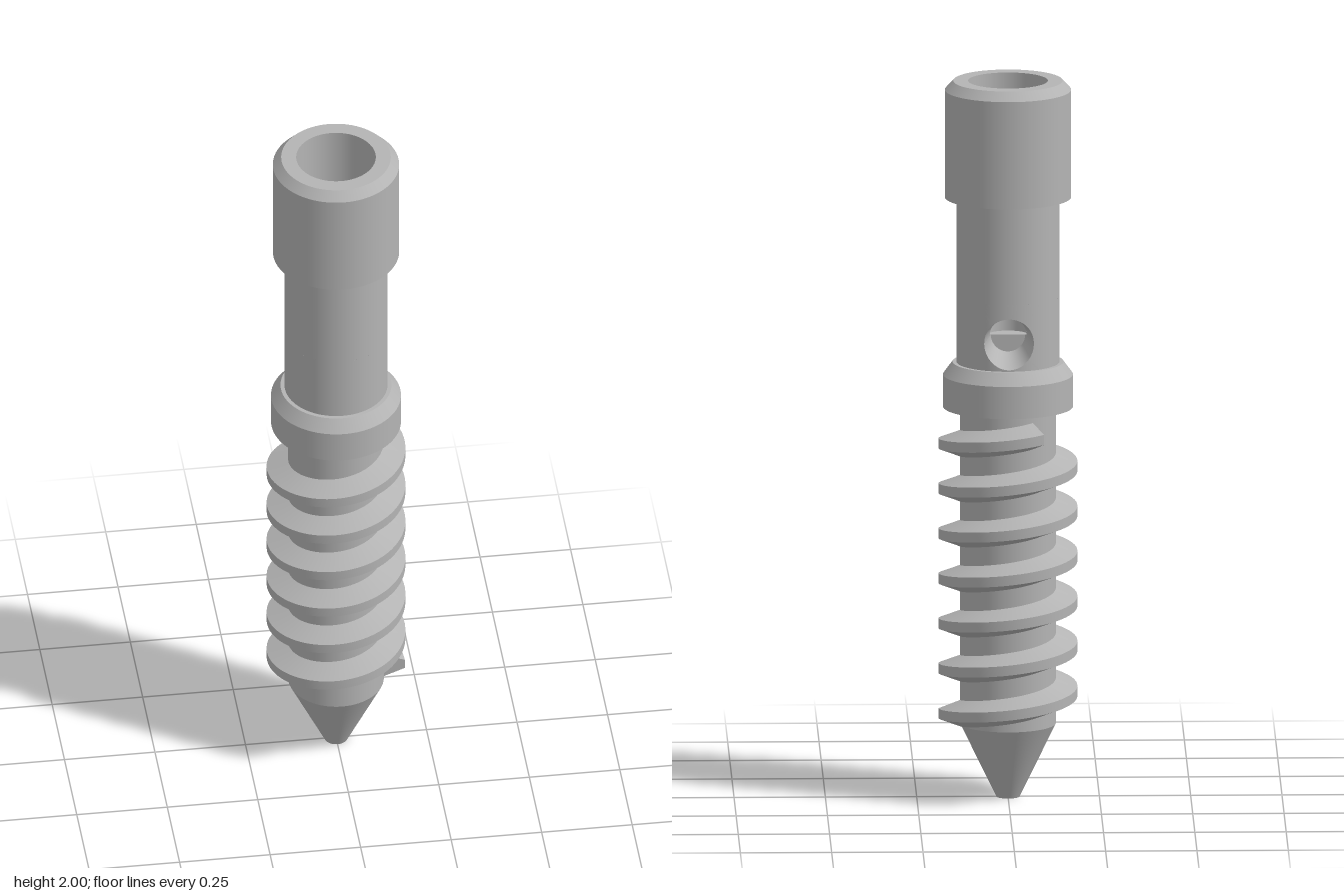
import * as THREE from 'three';
import { mergeGeometries } from 'three/addons/utils/BufferGeometryUtils.js';

const steel = new THREE.MeshStandardMaterial({ color: 0xb4b4b4, side: THREE.DoubleSide });
steel.name = 'steel grey';

// Smooth surface grid; fn(u, v) returns [x, y, z] for u, v in 0..1
function grid(fn, nu, nv) {
  const pos = [], idx = [];
  for (let i = 0; i <= nu; i++) {
    for (let j = 0; j <= nv; j++) {
      pos.push(...fn(i / nu, j / nv));
      if (i < nu && j < nv) {
        const a = i * (nv + 1) + j, b = a + nv + 1;
        idx.push(a, b, a + 1, b, b + 1, a + 1);
      }
    }
  }
  const g = new THREE.BufferGeometry();
  g.setAttribute('position', new THREE.Float32BufferAttribute(pos, 3));
  g.setIndex(idx);
  g.computeVertexNormals();
  return g;
}

// Turned part with a sharp edge at every profile point
function turned(points, start = 0, length = Math.PI * 2) {
  const parts = [];
  for (let i = 0; i < points.length - 1; i++) {
    const pair = [points[i], points[i + 1]].map(p => new THREE.Vector2(...p));
    parts.push(new THREE.LatheGeometry(pair, 72, start, length));
  }
  return mergeGeometries(parts);
}

export function createModel() {
  const model = new THREE.Group();
  const add = (name, geometry) => {
    const mesh = new THREE.Mesh(geometry, steel);
    mesh.name = name;
    model.add(mesh);
  };

  // Main turned parts
  add('tip', turned([[0, 0], [0.032, 0], [0.131, 0.205]]));
  add('core', turned([[0.131, 0.205], [0.131, 1.09]]));
  add('collar', turned([[0.131, 1.09], [0.178, 1.09], [0.178, 1.18], [0.152, 1.215], [0.141, 1.215]]));
  const R = 0.141, bandLow = 1.215, bandTop = 1.4, gap = 0.65;
  add('shank', turned([[R, bandTop], [R, 1.675]]));
  add('shankBand', turned([[R, bandLow], [R, bandTop]], Math.PI + gap, 2 * Math.PI - 2 * gap));
  add('head', turned([[R, 1.675], [0.173, 1.675], [0.173, 1.975], [0.15, 2], [0.109, 2]]));
  add('wideBore', turned([[0.109, 2], [0.109, 1.7], [0.055, 1.7]]));

  // Tapered side hole at the back: radius grows with distance from the axis
  const holeY = 1.29, boreR = 0.055;
  const holeR = d => 0.047 + 0.17 * d;
  const depthOn = (radius, a) => {
    let d = radius;
    for (let i = 0; i < 8; i++) {
      const x = holeR(d) * Math.cos(a);
      d = Math.sqrt(Math.max(0, radius * radius - x * x));
    }
    return d;
  };

  // Shank wall around the side hole, from a rectangle in to the hole rim
  const corners = [[gap, bandLow], [gap, bandTop], [-gap, bandTop], [-gap, bandLow]];
  add('shankHoleWall', grid((u, v) => {
    const t = u * 4, side = Math.min(3, Math.floor(t)), f = t - side;
    const p = corners[side], q = corners[(side + 1) % 4];
    const w = p[0] + (q[0] - p[0]) * f, y = p[1] + (q[1] - p[1]) * f;
    const a = Math.atan2(y - holeY, w * R);
    const r = holeR(depthOn(R, a));
    const wh = Math.asin(r * Math.cos(a) / R), yh = holeY + r * Math.sin(a);
    const ang = w + (wh - w) * v;
    return [-R * Math.sin(ang), y + (yh - y) * v, -R * Math.cos(ang)];
  }, 80, 8));

  // Side hole: the roof stops at the bore, the trough runs to the axis
  const tunnel = (from, inner) => grid((u, v) => {
    const a = from + u * Math.PI, outer = depthOn(R, a);
    const d = outer + (inner(a) - outer) * v, r = holeR(d);
    return [-r * Math.cos(a), holeY + r * Math.sin(a), -d];
  }, 32, 4);
  add('sideHoleRoof', tunnel(0, a => depthOn(boreR, a)));
  add('sideHoleTrough', tunnel(Math.PI, () => 0));
  add('sideHoleEnd', new THREE.CircleGeometry(0.047, 24, Math.PI, Math.PI).rotateY(Math.PI).translate(0, holeY, 0));

  // Narrow bore with an arched opening into the side hole
  add('narrowBore', grid((u, v) => {
    const a = u * 2 * Math.PI, x = boreR * Math.sin(a), z = boreR * Math.cos(a);
    const r = holeR(-z);
    const low = z < 0 ? holeY + Math.sqrt(Math.max(0, r * r - x * x)) : holeY;
    return [x, 1.7 + (low - 1.7) * v, z];
  }, 120, 3));
  add('boreFloor', new THREE.CircleGeometry(boreR, 32, Math.PI, Math.PI).rotateX(-Math.PI / 2).translate(0, holeY, 0));
  add('lowerFloor', new THREE.CircleGeometry(boreR, 32).rotateX(-Math.PI / 2).translate(0, 1.23, 0));

  // Helical thread with a trapezoid section
  const turns = 6 + 1 / 3, pitch = 0.1257, startY = 0.233;
  const section = [[0.128, -0.038], [0.19, -0.014], [0.19, 0.014], [0.128, 0.038]];
  const onHelix = (u, r, dy) => {
    const a = u * turns * 2 * Math.PI;
    return [r * Math.cos(a), startY + u * turns * pitch + dy, -r * Math.sin(a)];
  };
  const strips = [];
  for (let k = 0; k < 3; k++) {
    const [r0, y0] = section[k], [r1, y1] = section[k + 1];
    strips.push(grid((u, v) => onHelix(u, r0 + (r1 - r0) * v, y0 + (y1 - y0) * v), 456, 1));
  }
  for (const end of [0, 1]) {
    strips.push(grid((u, v) => {
      const r = 0.128 + 0.062 * u, half = 0.038 - 0.024 * u;
      return onHelix(end, r, (end ? -1 : 1) * half * (2 * v - 1));
    }, 1, 1));
  }
  add('thread', mergeGeometries(strips));

  return model;
}
